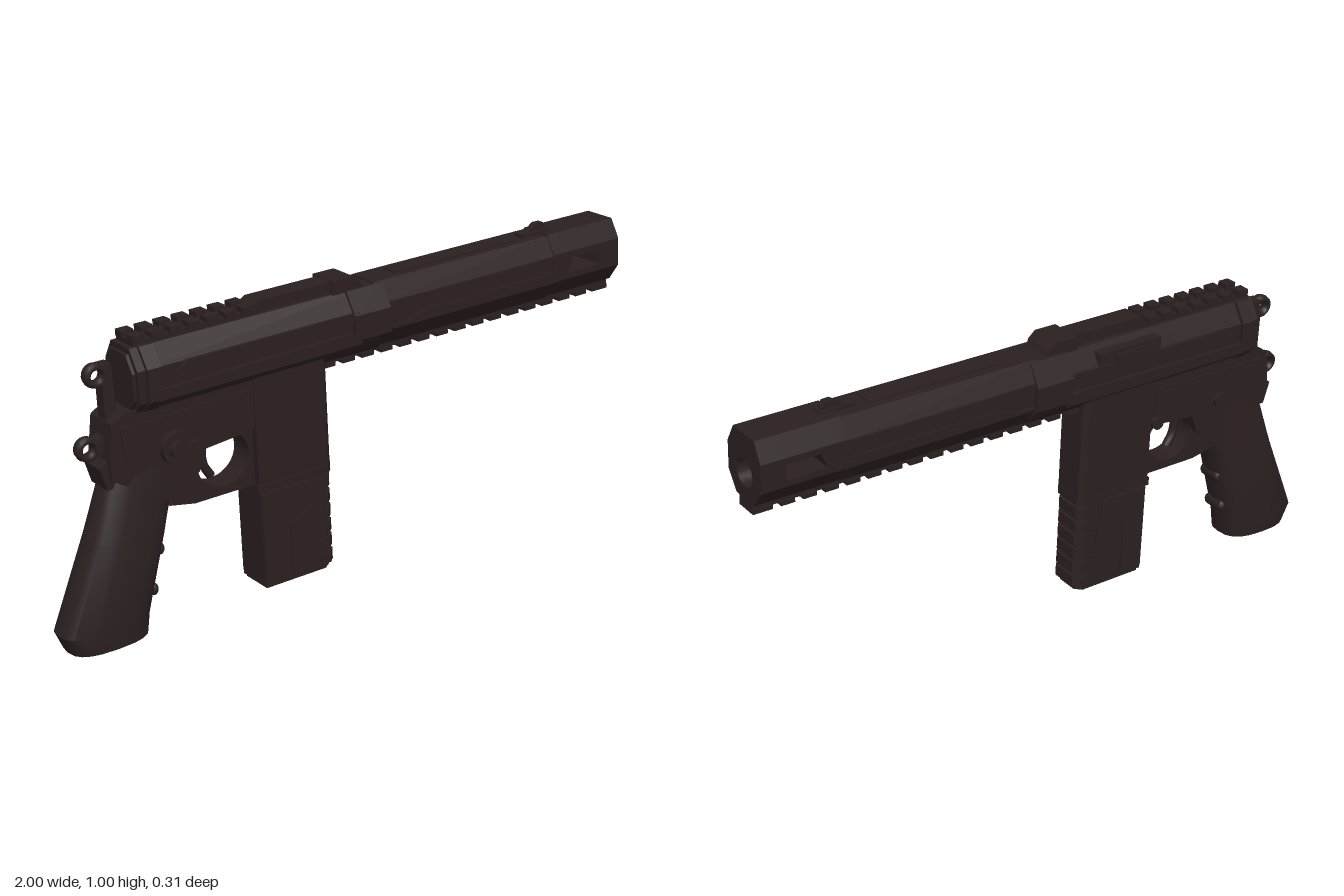
import * as THREE from 'three';
import { toCreasedNormals } from 'three/addons/utils/BufferGeometryUtils.js';

const gunmetal = new THREE.MeshStandardMaterial({ color: 0x2b2020 });
gunmetal.name = 'dark brown gunmetal';

export function createModel() {
  const model = new THREE.Group();
  model.name = 'pistol';

  const add = (name, geo, x = 0, y = 0, z = 0) => {
    const m = new THREE.Mesh(geo, gunmetal);
    m.name = name;
    m.position.set(x, y, z);
    model.add(m);
    return m;
  };
  const toShape = (pts) => new THREE.Shape(pts.map(([a, b]) => new THREE.Vector2(a, b)));
  // box given by its extents along the barrel, in height and in depth
  const block = (name, x0, x1, y0, y1, z0, z1) =>
    add(name, new THREE.BoxGeometry(x1 - x0, y1 - y0, z1 - z0), (x0 + x1) / 2, (y0 + y1) / 2, (z0 + z1) / 2);
  // side outline extruded across the gun, from z0 to z1
  const slab = (name, shape, z0, z1) =>
    add(name, new THREE.ExtrudeGeometry(Array.isArray(shape) ? toShape(shape) : shape,
      { depth: z1 - z0, bevelEnabled: false, curveSegments: 20 }), 0, 0, z0);
  // the same thin plate on both sides
  const plates = (name, pts, z, t) => {
    slab(name + 'Left', pts, z, z + t);
    slab(name + 'Right', pts, -z - t, -z);
  };
  // half cross-section (z, y), mirrored and extruded along the barrel
  const prism = (name, half, x0, x1, bore = 0) => {
    const s = toShape([...half, ...half.slice().reverse().map(([z, y]) => [-z, y])]);
    if (bore) s.holes.push(new THREE.Path().absarc(0, 0.815, bore, 0, Math.PI * 2, true));
    const g = new THREE.ExtrudeGeometry(s, { depth: x1 - x0, bevelEnabled: false, curveSegments: 24 });
    return add(name, g.rotateY(Math.PI / 2), x0, 0, 0);
  };

  // Barrel shroud and slotted muzzle
  const barrel = [[0.032, 0.718], [0.032, 0.735], [0.047, 0.735], [0.0875, 0.79], [0.0875, 0.878], [0.055, 0.937]];
  prism('barrelShroud', barrel.map(([z, y]) => [z * 0.97, y - 0.004]), 0.1, 0.77);
  prism('muzzleRear', barrel, 0.77, 0.815);
  prism('muzzleFloor', [[0.032, 0.718], [0.032, 0.735], [0.047, 0.735], [0.0875, 0.79], [0.0875, 0.81]], 0.815, 0.97);
  prism('muzzleRoof', [[0.0875, 0.858], [0.0875, 0.878], [0.055, 0.937]], 0.815, 0.97);
  prism('muzzleFace', barrel, 0.97, 1.037, 0.042);
  slab('slotRearSlope', [[0.815, 0.81], [0.828, 0.81], [0.85, 0.858], [0.815, 0.858]], -0.0875, 0.0875);
  slab('slotFrontSlope', [[0.955, 0.81], [0.97, 0.81], [0.97, 0.858], [0.962, 0.858]], -0.0875, 0.0875);
  const plug = add('borePlug', new THREE.CylinderGeometry(0.043, 0.043, 0.008, 24), 0.972, 0.815, 0);
  plug.rotation.z = Math.PI / 2;
  plates('handguardPanel', [[0.06, 0.79], [0.8, 0.79], [0.77, 0.822], [0.27, 0.822], [0.19, 0.8], [0.06, 0.8]], 0.084, 0.006);
  plates('upperBarrelPanel', [[0.3, 0.845], [0.68, 0.845], [0.7, 0.872], [0.27, 0.872]], 0.084, 0.005);
  block('barrelTopRib', 0.2, 0.66, 0.93, 0.938, -0.028, 0.028);

  // Rail under the barrel
  block('lowerRail', -0.08, 1.037, 0.712, 0.745, -0.032, 0.032);
  for (let i = 0; i < 16; i++) {
    const x = -0.055 + i * 0.07;
    block('lowerRailTooth', x - 0.022, x + (i === 15 ? 0.04 : 0.022), 0.701, 0.715, -0.036, 0.036);
  }
  prism('handguardNeck', [[0.036, 0.72], [0.06, 0.742], [0.09, 0.78], [0.09, 0.81]], -0.08, 0.12);

  // Receiver with raised ledges along both sides
  prism('receiver', [[0.06, 0.741], [0.088, 0.772], [0.088, 0.868], [0.05, 0.927]], -0.725, 0.1);
  prism('receiverCollar', [[0.055, 0.742], [0.1, 0.785], [0.1, 0.862], [0.06, 0.929]], 0.0, 0.13);
  prism('receiverRearBand', [[0.063, 0.739], [0.1, 0.775], [0.1, 0.872], [0.06, 0.93]], -0.7, -0.655);
  prism('receiverEndCap', [[0.05, 0.75], [0.075, 0.78], [0.075, 0.86], [0.045, 0.91]], -0.735, -0.725);
  plates('lowerLedge', [[-0.67, 0.772], [0.02, 0.772], [0.02, 0.8], [-0.03, 0.812], [-0.67, 0.804]], 0.086, 0.014);
  plates('upperLedge', [[-0.6, 0.845], [0.02, 0.845], [0.02, 0.87], [-0.57, 0.87]], 0.086, 0.01);
  for (const x of [-0.53, -0.4, -0.27]) {
    plates('sideChevron', [[x, 0.87], [x + 0.05, 0.832], [x + 0.1, 0.87]], 0.086, 0.012);
  }
  // Ejection port and bolt handle on the right side
  block('ejectionPortFrame', -0.33, -0.1, 0.85, 0.91, -0.093, -0.055);
  block('ejectionBolt', -0.3, -0.16, 0.862, 0.897, -0.098, -0.09);
  block('boltHandle', -0.2, -0.16, 0.868, 0.888, -0.105, -0.095);

  // Top rail, cover and sights
  block('topRailBase', -0.71, -0.3, 0.92, 0.941, -0.042, 0.042);
  for (let i = 0; i < 7; i++) {
    const x = -0.69 + i * 0.06;
    block('topRailToothLeft', x - 0.02, x + 0.018, 0.935, 0.957, 0.012, 0.048);
    block('topRailToothRight', x - 0.02, x + 0.018, 0.935, 0.957, -0.048, -0.012);
  }
  slab('topCover', [[-0.32, 0.92], [0.05, 0.92], [0.05, 0.945], [-0.04, 0.962], [-0.29, 0.962], [-0.32, 0.945]], -0.035, 0.035);
  slab('rearSight', [[-0.045, 0.92], [0.065, 0.92], [0.058, 0.945], [0.035, 0.966], [-0.04, 0.966]], -0.052, 0.052);
  block('frontSightBase', 0.7, 0.81, 0.93, 0.943, -0.02, 0.02);
  slab('frontSight', [[0.715, 0.935], [0.8, 0.935], [0.8, 0.95], [0.79, 0.965], [0.765, 0.966]], -0.011, 0.011);

  // Frame, trigger guard and trigger
  slab('frame', [[-0.803, 0.725], [-0.819, 0.622], [-0.815, 0.56], [-0.62, 0.44], [-0.535, 0.512], [-0.51, 0.575],
    [-0.34, 0.59], [-0.33, 0.75], [-0.76, 0.75]], -0.06, 0.06);
  plates('framePanel', [[-0.78, 0.71], [-0.77, 0.6], [-0.55, 0.585], [-0.5, 0.61], [-0.35, 0.62], [-0.35, 0.715]], 0.059, 0.006);
  const guard = toShape([[-0.63, 0.425], [-0.545, 0.408], [-0.33, 0.408], [-0.33, 0.61], [-0.55, 0.61], [-0.56, 0.5]]);
  guard.holes.push(new THREE.Path().absellipse(-0.442, 0.516, 0.088, 0.083, 0, Math.PI * 2, true));
  slab('triggerGuard', guard, -0.04, 0.04);
  const trigger = new THREE.CatmullRomCurve3([[-0.47, 0.61], [-0.49, 0.55], [-0.487, 0.5], [-0.465, 0.46]]
    .map(([x, y]) => new THREE.Vector3(x, y, 0)));
  add('trigger', new THREE.TubeGeometry(trigger, 12, 0.014, 8));

  // Safety selector on the left, pins on the right
  const disc = (name, r, len, x, y, z) => {
    add(name, new THREE.CylinderGeometry(r, r, len, 20).rotateX(Math.PI / 2), x, y, z);
  };
  disc('selectorDisc', 0.052, 0.03, -0.61, 0.612, 0.073);
  disc('selectorHub', 0.028, 0.03, -0.615, 0.612, 0.09);
  block('selectorLever', -0.615, -0.555, 0.6, 0.625, 0.07, 0.102);
  disc('framePin', 0.022, 0.02, -0.61, 0.612, -0.068);
  disc('magazineRelease', 0.02, 0.025, -0.36, 0.6, -0.065);

  // Magazine well and magazine with bevelled front corners
  const column = (name, x0, x1, y0, y1, hw, c) => {
    const s = toShape([[x0, -hw], [x1 - c, -hw], [x1, -hw + c], [x1, hw - c], [x1 - c, hw], [x0, hw]]);
    const g = new THREE.ExtrudeGeometry(s, { depth: y1 - y0, bevelEnabled: false });
    return add(name, g.rotateX(-Math.PI / 2), 0, y0, 0);
  };
  column('magazineWell', -0.34, -0.08, 0.41, 0.75, 0.064, 0.015);
  column('magazine', -0.337, -0.09, 0.082, 0.42, 0.06, 0.02);
  column('magazineLip', -0.346, -0.078, 0.385, 0.412, 0.066, 0.018);
  column('magazineFoot', -0.33, -0.094, 0.072, 0.084, 0.055, 0.02);
  for (let i = 0; i < 6; i++) {
    const y = 0.09 + i * 0.049;
    column('magazineRib', -0.15, -0.08, y, y + 0.037, 0.062, 0.02);
  }
  plates('magazineRearPanel', [[-0.335, 0.095], [-0.255, 0.095], [-0.255, 0.27], [-0.165, 0.33], [-0.165, 0.38], [-0.335, 0.38]], 0.059, 0.006);
  plates('magazineFrontPanel', [[-0.238, 0.095], [-0.15, 0.095], [-0.15, 0.31], [-0.238, 0.255]], 0.059, 0.004);

  // Grip lofted through oval rings: rear x, y, front x, y, half-width
  const rings = [[-0.798, 0.6, -0.565, 0.546, 0.06], [-0.829, 0.527, -0.622, 0.425, 0.068],
    [-0.884, 0.379, -0.644, 0.357, 0.08], [-1.0, 0.117, -0.715, 0.119, 0.086], [-0.976, 0.057, -0.724, 0.06, 0.08]];
  const N = 20, pos = [], idx = [];
  const pw = (v, e) => Math.sign(v) * Math.abs(v) ** e;
  for (const [rx, ry, fx, fy, hw] of rings) {
    for (let j = 0; j < N; j++) {
      const t = (j / N) * Math.PI * 2, k = pw(Math.cos(t), 0.75);
      pos.push((rx + fx) / 2 + k * (fx - rx) / 2, (ry + fy) / 2 + k * (fy - ry) / 2, hw * pw(Math.sin(t), 0.75));
    }
  }
  const last = (rings.length - 1) * N;
  for (let j = 0; j < N; j++) {
    const n = (j + 1) % N;
    for (let r = 0; r < last; r += N) idx.push(r + j, r + n, r + N + j, r + n, r + N + n, r + N + j);
    if (j > 0 && j < N - 1) idx.push(last, last + j, last + n, 0, n, j);
  }
  const grip = new THREE.BufferGeometry();
  grip.setAttribute('position', new THREE.Float32BufferAttribute(pos, 3));
  grip.setIndex(idx);
  add('grip', toCreasedNormals(grip, 0.6));
  // Finger ridges on the front of the grip
  for (const [x, y] of [[-0.668, 0.3], [-0.698, 0.18]]) {
    const ridge = add('gripRidge', new THREE.CapsuleGeometry(0.014, 0.06, 4, 10).rotateX(Math.PI / 2), x, y, 0);
    ridge.scale.y = 1.4;
  }

  // Hammer and lanyard loops at the back
  const ring = (name, x, y) =>
    add(name, new THREE.TorusGeometry(0.026, 0.011, 8, 20), x, y, 0).scale.set(1, 1, 1.8);
  ring('hammerLoop', -0.812, 0.858);
  slab('hammerStem', [[-0.8, 0.72], [-0.755, 0.72], [-0.765, 0.77], [-0.768, 0.888], [-0.8, 0.888], [-0.788, 0.858],
    [-0.8, 0.83]], -0.02, 0.02);
  ring('lanyardLoop', -0.857, 0.651);
  slab('lanyardArm', [[-0.838, 0.637], [-0.79, 0.62], [-0.79, 0.69], [-0.838, 0.67]], -0.02, 0.02);
  slab('tang', [[-0.845, 0.6], [-0.8, 0.63], [-0.79, 0.53], [-0.826, 0.53]], -0.045, 0.045);

  // The whole piece points slightly up and turned to its right
  model.rotation.set(0, 0.0685, 0.05);
  const root = new THREE.Group();
  root.name = 'pistolStand';
  root.add(model);
  return root;
}
